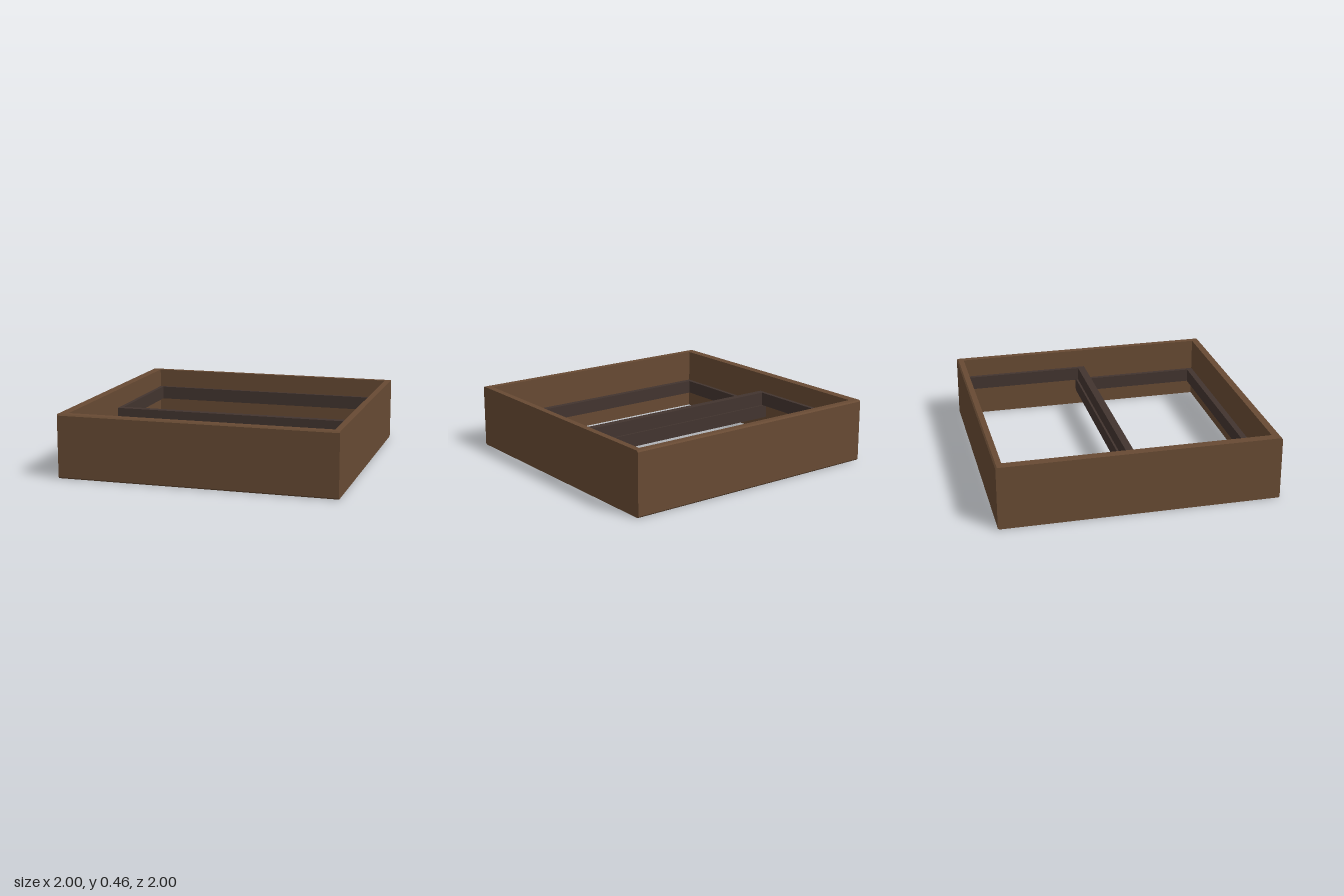
import * as THREE from 'three';

const wood = new THREE.MeshStandardMaterial({ color: 0x674a33 });
wood.name = 'brown wood';
const darkWood = new THREE.MeshStandardMaterial({ color: 0x42342f });
darkWood.name = 'dark wood';

const HEIGHT = 0.46;

// Box given by its lower and upper limits on each axis
function bar(name, material, [x0, x1], [y0, y1], [z0, z1]) {
  const mesh = new THREE.Mesh(new THREE.BoxGeometry(x1 - x0, y1 - y0, z1 - z0), material);
  mesh.position.set((x0 + x1) / 2, (y0 + y1) / 2, (z0 + z1) / 2);
  mesh.name = name;
  return mesh;
}

// Full-width board whose two outer long edges are slightly chamfered
function endBoard(name, outer, inner) {
  const c = 0.01;
  const s = Math.sign(outer);
  const profile = [
    [inner, 0], [outer - s * c, 0], [outer, c],
    [outer, HEIGHT - c], [outer - s * c, HEIGHT], [inner, HEIGHT],
  ].map(([z, y]) => new THREE.Vector2(-z, y));
  const geometry = new THREE.ExtrudeGeometry(new THREE.Shape(profile), { depth: 2, bevelEnabled: false });
  geometry.translate(0, 0, -1);
  geometry.rotateY(Math.PI / 2);
  const mesh = new THREE.Mesh(geometry, wood);
  mesh.name = name;
  return mesh;
}

// Three-sided inner support: one end rail, two side rails and a cross beam
function supportFrame(name, y, endZ, beamZ) {
  const frame = new THREE.Group();
  frame.name = name;
  const zSpan = [Math.min(endZ[0], beamZ[0]), Math.max(endZ[1], beamZ[1])];
  frame.add(
    bar('endRail', darkWood, [-0.935, 0.955], y, endZ),
    bar('crossBeam', darkWood, [-0.935, 0.955], y, beamZ),
    bar('rightSideRail', darkWood, [-0.935, -0.905], y, zSpan),
    bar('leftSideRail', darkWood, [0.925, 0.955], y, zSpan),
  );
  return frame;
}

export function createModel() {
  const model = new THREE.Group();
  model.name = 'bedFrame';

  // Outer boards
  model.add(
    endBoard('frontBoard', 1, 0.94),
    endBoard('backBoard', -1, -0.95),
    bar('rightBoard', wood, [-1, -0.935], [0, HEIGHT], [-0.95, 0.94]),
    bar('leftBoard', wood, [0.955, 1], [0, HEIGHT], [-0.95, 0.94]),
  );

  // Inner supports, the back half one step higher than the front half
  model.add(
    supportFrame('backSupport', [0.22, 0.32], [-0.95, -0.925], [-0.03, 0.025]),
    supportFrame('frontSupport', [0.12, 0.22], [0.895, 0.94], [-0.045, 0.015]),
  );
  return model;
}
